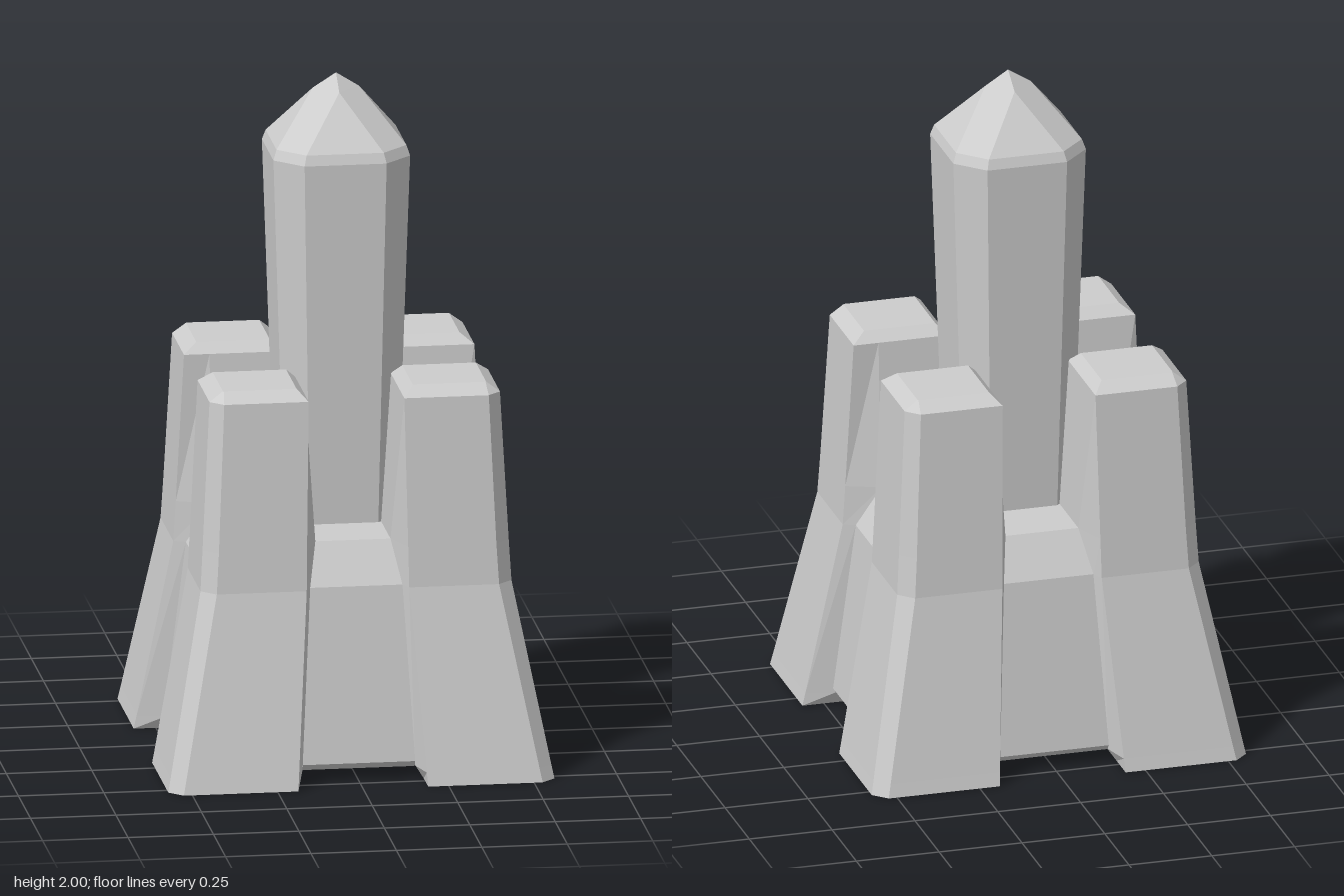
import * as THREE from 'three';
import { ConvexGeometry } from 'three/addons/geometries/ConvexGeometry.js';

// Closed flat-shaded solid through a stack of rings of [x, y, z] points
function loft(rings) {
  const pos = [];
  const tri = (a, b, c) => pos.push(...a, ...b, ...c);
  const n = rings[0].length;
  for (let r = 0; r < rings.length - 1; r++) {
    const lo = rings[r], hi = rings[r + 1];
    for (let i = 0; i < n; i++) {
      const j = (i + 1) % n;
      tri(lo[i], hi[i], lo[j]);
      tri(hi[i], hi[j], lo[j]);
    }
  }
  const bottom = rings[0], top = rings[rings.length - 1];
  for (let i = 1; i < n - 1; i++) {
    tri(bottom[0], bottom[i], bottom[i + 1]);
    tri(top[0], top[i + 1], top[i]);
  }
  const geo = new THREE.BufferGeometry();
  geo.setAttribute('position', new THREE.Float32BufferAttribute(pos, 3));
  geo.computeVertexNormals();
  return geo;
}

// Tower section: outer reach o, outer chamfer c, inner front corner a,
// inner wall b, depth p where the wall meets the core
const towerRing = ([y, o, c, a, b, p]) => [
  [o, y, o - c], [o - c, y, o], [a, y, o], [b, y, p], [b, y, b], [p, y, b], [o, y, a],
];

// Octagon with reach r and half flat width f
function octagon(y, r, f) {
  return [[r, f], [f, r], [-f, r], [-r, f], [-r, -f], [-f, -r], [f, -r], [r, -f]]
    .map(([x, z]) => new THREE.Vector3(x, y, z));
}

export function createModel() {
  const group = new THREE.Group();
  const stone = new THREE.MeshStandardMaterial({ color: 0xcccccc, flatShading: true });
  stone.name = 'stoneGrey';
  const add = (name, geo, turn = 0) => {
    const mesh = new THREE.Mesh(geo, stone);
    mesh.name = name;
    mesh.rotation.y = turn;
    group.add(mesh);
  };

  // Four flared corner towers
  const tower = loft([
    [0, 0.565, 0.04, 0.19, 0.19, 0.47],
    [0.04, 0.557, 0.04, 0.187, 0.165, 0.475],
    [0.57, 0.455, 0.042, 0.15, 0.135, 0.42],
    [0.69, 0.448, 0.042, 0.148, 0.11, 0.35],
    [1.13, 0.425, 0.038, 0.14, 0.14, 0.35],
    [1.16, 0.385, 0.002, 0.17, 0.17, 0.34],
  ].map(towerRing));
  for (let i = 0; i < 4; i++) add('cornerTower' + (i + 1), tower, i * Math.PI / 2);

  // Cross-shaped core between the towers
  const arm = loft([
    [0.035, 0.165, 0.46],
    [0.055, 0.164, 0.48],
    [0.57, 0.135, 0.42],
    [0.69, 0.11, 0.35],
  ].map(([y, w, d]) => [[w, y, -d], [w, y, d], [-w, y, d], [-w, y, -d]]));
  add('coreFrontToBack', arm);
  add('coreSideToSide', arm, Math.PI / 2);

  // Central octagonal spire with a chamfered pyramid cap
  const k = 0.068, ky = 1.957;
  add('centralSpire', new ConvexGeometry([
    ...octagon(0.6, 0.162, 0.099),
    ...octagon(1.775, 0.2, 0.12),
    ...octagon(1.805, 0.19, 0.113),
    new THREE.Vector3(k, ky, 0), new THREE.Vector3(-k, ky, 0),
    new THREE.Vector3(0, ky, k), new THREE.Vector3(0, ky, -k),
    new THREE.Vector3(0, 2, 0),
  ]));

  return group;
}
